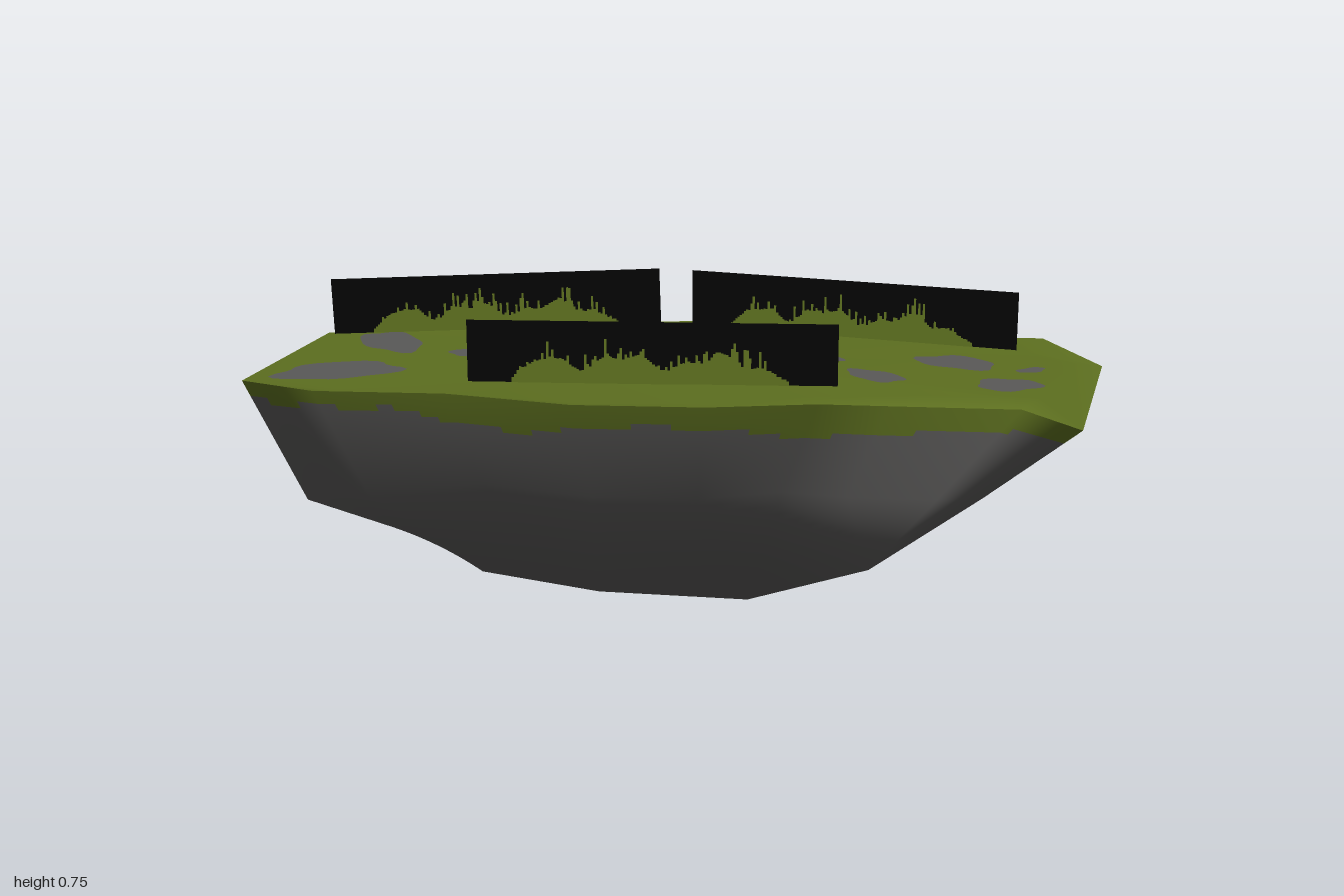
import * as THREE from 'three';

const grass = new THREE.MeshStandardMaterial({ color: 0x5c6e1f, side: THREE.DoubleSide });
grass.name = 'grass green';
const rock = new THREE.MeshStandardMaterial({ color: 0x595857, side: THREE.DoubleSide });
rock.name = 'rock grey';
const black = new THREE.MeshStandardMaterial({ color: 0x040404, side: THREE.DoubleSide });
black.name = 'backing black';

// Rim points, back left to right then front right to left: x, y, z, keel node, optional shoulder point
const RIM = [
  [-1, 0.578, -0.23, 0, [-0.82, 0.34, -0.1]], [-0.64, 0.6, -0.32, 1], [-0.54, 0.6, -0.4, 1], [-0.13, 0.61, -0.425, 2],
  [0.18, 0.618, -0.52, 3], [0.44, 0.6, -0.5, 3], [0.6, 0.6, -0.45, 3], [0.85, 0.633, -0.34, 4],
  [1, 0.6, -0.21, 4], [0.975, 0.545, 0.2, 5, [0.76, 0.37, 0.19]], [0.84, 0.59, 0.22, 5, [0.66, 0.37, 0.23]],
  [0.55, 0.597, 0.285, 5, [0.46, 0.37, 0.255]], [0.4, 0.605, 0.335, 3], [0.17, 0.615, 0.46, 3],
  [-0.12, 0.617, 0.513, 2], [-0.43, 0.612, 0.46, 2], [-0.75, 0.6, 0.46, 1], [-0.99, 0.578, 0.32, 0],
];
// Keel nodes from left to right; the last is the front foot of the bow face
const KEEL = [[-0.63, 0.1, 0], [-0.5, 0.04, 0.03], [-0.2, 0.004, 0.01], [0.18, 0.014, 0.01], [0.5, 0.13, -0.07], [0.5, 0.17, 0.17]];
const N = RIM.length;
const BOW = 8; // rim sector of the bow face
const topY = (x) => 0.611 + 0.032 * Math.min(0, x);

function makeRandom(seed) {
  return () => ((seed = (seed * 16807) % 2147483647) / 2147483647);
}

function build(positions, index, normals) {
  const g = new THREE.BufferGeometry();
  g.setAttribute('position', new THREE.Float32BufferAttribute(positions, 3));
  g.setIndex(index);
  if (normals) g.setAttribute('normal', new THREE.Float32BufferAttribute(normals, 3));
  else g.computeVertexNormals();
  return g;
}

function mesh(name, geometry, material) {
  const m = new THREE.Mesh(geometry, material);
  m.name = name;
  return m;
}

// Coarse hull of rim, shoulder and keel, then finely divided so moss cells can be coloured
function makeHull() {
  const rim = RIM.map(([x, y, z]) => [x, y, z]);
  const shoulder = RIM.map(([x, , z, , own]) => own ?? [
    x * (x < 0 ? 0.89 : 0.77),
    x < -0.9 ? 0.26 : x < -0.6 ? 0.33 : 0.372,
    z * (x < -0.9 ? 0.69 : z < 0 ? 0.695 : 0.765),
  ]);
  const keel = (i) => 2 * N + RIM[i][3];
  const quads = [];
  for (let i = 0; i < N; i++) {
    const j = (i + 1) % N;
    quads.push([i, j, j + N, i + N, i], [i + N, j + N, keel(j), keel(i), i]);
  }
  // Triangle under the bow
  quads.push([2 * N + 5, 2 * N + 3, 2 * N + 3, 2 * N + 4, BOW]);
  const coarse = build([...rim, ...shoulder, ...KEEL].flat(), quads.flatMap(([a, b, c, d]) => [a, b, c, a, c, d]));
  const vec = (attr, i) => new THREE.Vector3().fromBufferAttribute(coarse.attributes[attr], i);

  // Moss spots on the back slope: x, y, radii
  const rnd = makeRandom(77);
  const spots = Array.from({ length: 34 }, () =>
    [rnd() * 1.4 - 0.75, 0.52 - 0.36 * rnd() ** 1.5, 0.015 + 0.03 * rnd(), 0.01 + 0.022 * rnd()]);
  const mossy = (p, sector) => {
    if (sector === BOW) return false;
    if (sector > BOW) {
      return p.y > 0.548 - 0.03 * Math.max(0, p.x) + 0.016 * Math.sin(9 * p.x + 1) + 0.006 * Math.sin(31 * p.x);
    }
    if (p.y > 0.51 - 0.05 * Math.max(0, p.x) + 0.025 * Math.sin(11 * p.x) + 0.015 * Math.sin(31 * p.x)) return true;
    return spots.some(([x, y, a, b]) => ((p.x - x) / a) ** 2 + ((p.y - y) / b) ** 2 < 1);
  };

  const S = 16, pos = [], nor = [], stone = [], moss = [];
  for (const [a, b, c, d, sector] of quads) {
    const start = pos.length / 3;
    const at = (attr, u, v) => vec(attr, a).lerp(vec(attr, b), u).lerp(vec(attr, d).lerp(vec(attr, c), u), v);
    for (let v = 0; v <= S; v++) for (let u = 0; u <= S; u++) {
      pos.push(...at('position', u / S, v / S).toArray());
      nor.push(...at('normal', u / S, v / S).normalize().toArray());
    }
    for (let v = 0; v < S; v++) for (let u = 0; u < S; u++) {
      const k = start + v * (S + 1) + u, below = k + S + 1;
      const list = mossy(at('position', (u + 0.5) / S, (v + 0.5) / S), sector) ? moss : stone;
      list.push(k, k + 1, below + 1, k, below + 1, below);
    }
  }
  const g = build(pos, [...stone, ...moss], nor);
  g.addGroup(0, stone.length, 0);
  g.addGroup(stone.length, moss.length, 1);
  return mesh('rockHull', g, [rock, grass]);
}

// Nearly flat lawn: rim, inner ring and centre
function makeLawn() {
  const pos = [0, topY(0), 0], index = [];
  for (const [x, , z] of RIM) pos.push(x * 0.9, topY(x * 0.9), z * 0.9);
  for (const [x, y, z] of RIM) pos.push(x, y, z);
  for (let i = 0; i < N; i++) {
    const a = 1 + i, b = 1 + (i + 1) % N;
    index.push(0, b, a, a, b, b + N, a, b + N, a + N);
  }
  return mesh('grassTop', build(pos, index), grass);
}

// Irregular bare stone patch lying on the lawn
function makePatch([cx, cz, rx, rz, turn], n) {
  const lift = 0.003, pos = [cx, topY(cx) + lift, cz], index = [], K = 26;
  for (let i = 0; i < K; i++) {
    const t = (i / K) * Math.PI * 2;
    const w = 1 + 0.09 * Math.sin(3 * t + n * 1.7) + 0.08 * Math.sin(5 * t + n);
    const u = rx * w * Math.cos(t), v = rz * w * Math.sin(t);
    const x = cx + u * Math.cos(turn) - v * Math.sin(turn);
    pos.push(x, topY(x) + lift, cz + u * Math.sin(turn) + v * Math.cos(turn));
    index.push(0, 1 + (i + 1) % K, 1 + i);
  }
  return mesh('stonePatch', build(pos, index), rock);
}

// Upright dark card with a ragged grass silhouette on both faces
function makeCard([x1, y1, z1], [x2, y2, z2], seed) {
  const card = new THREE.Group();
  card.name = 'grassCard';
  const run = Math.hypot(x2 - x1, z2 - z1), len = Math.hypot(run, y2 - y1), h = 0.145;
  card.add(mesh('cardBacking', new THREE.PlaneGeometry(len, h).translate(0, h / 2, 0), black));

  const rnd = makeRandom(seed), K = 110, shape = new THREE.Shape();
  const left = -len * 0.38, width = len * 0.75;
  shape.moveTo(left, 0);
  for (let i = 0; i < K; i++) {
    const t = (i + 0.5) / K;
    const env = Math.min(1, t * 9, (1 - t) * 9);
    const y = 0.01 + env * (0.042 + 0.014 * Math.sin(t * 19) + 0.008 * Math.sin(t * 43) + 0.045 * rnd() ** 4);
    shape.lineTo(left + (width * i) / K, y);
    shape.lineTo(left + (width * (i + 1)) / K, y);
  }
  shape.lineTo(left + width, 0);
  for (const side of [-1, 1]) {
    const blades = mesh('grassBlades', new THREE.ShapeGeometry(shape), grass);
    blades.position.z = side * 0.003;
    card.add(blades);
  }
  card.position.set((x1 + x2) / 2, (y1 + y2) / 2, (z1 + z2) / 2);
  card.rotation.set(0, Math.atan2(z1 - z2, x2 - x1), Math.atan2(y2 - y1, run));
  return card;
}

export function createModel() {
  const model = new THREE.Group();
  model.name = 'floatingIsland';
  model.add(makeHull(), makeLawn());

  // Stone patches: x, z, radii, turn
  [
    [-0.79, 0.21, 0.15, 0.095, -0.35], [-0.78, -0.12, 0.14, 0.07, 0.9], [-0.5, -0.03, 0.085, 0.055, -0.4],
    [-0.35, 0.1, 0.11, 0.052, 0.85], [-0.24, -0.08, 0.05, 0.035, -0.8], [0, -0.2, 0.085, 0.055, 0.2],
    [0.02, -0.02, 0.035, 0.018, 0], [-0.16, 0.2, 0.085, 0.035, -0.7], [0.3, -0.11, 0.095, 0.05, 0.4],
    [0.22, 0.07, 0.085, 0.024, -0.25], [0.49, 0.07, 0.08, 0.045, 0.6], [0.66, -0.11, 0.1, 0.065, 0.35],
    [0.8, 0.09, 0.075, 0.06, -0.3], [0.84, -0.07, 0.04, 0.022, -0.8],
  ].forEach((p, n) => model.add(makePatch(p, n)));

  model.add(
    makeCard([-0.97, 0.583, -0.2], [-0.14, 0.61, -0.405], 11),
    makeCard([-0.055, 0.61, -0.4], [0.79, 0.61, -0.29], 23),
    makeCard([-0.42, 0.61, 0.327], [0.42, 0.61, 0.183], 37),
  );
  return model;
}
